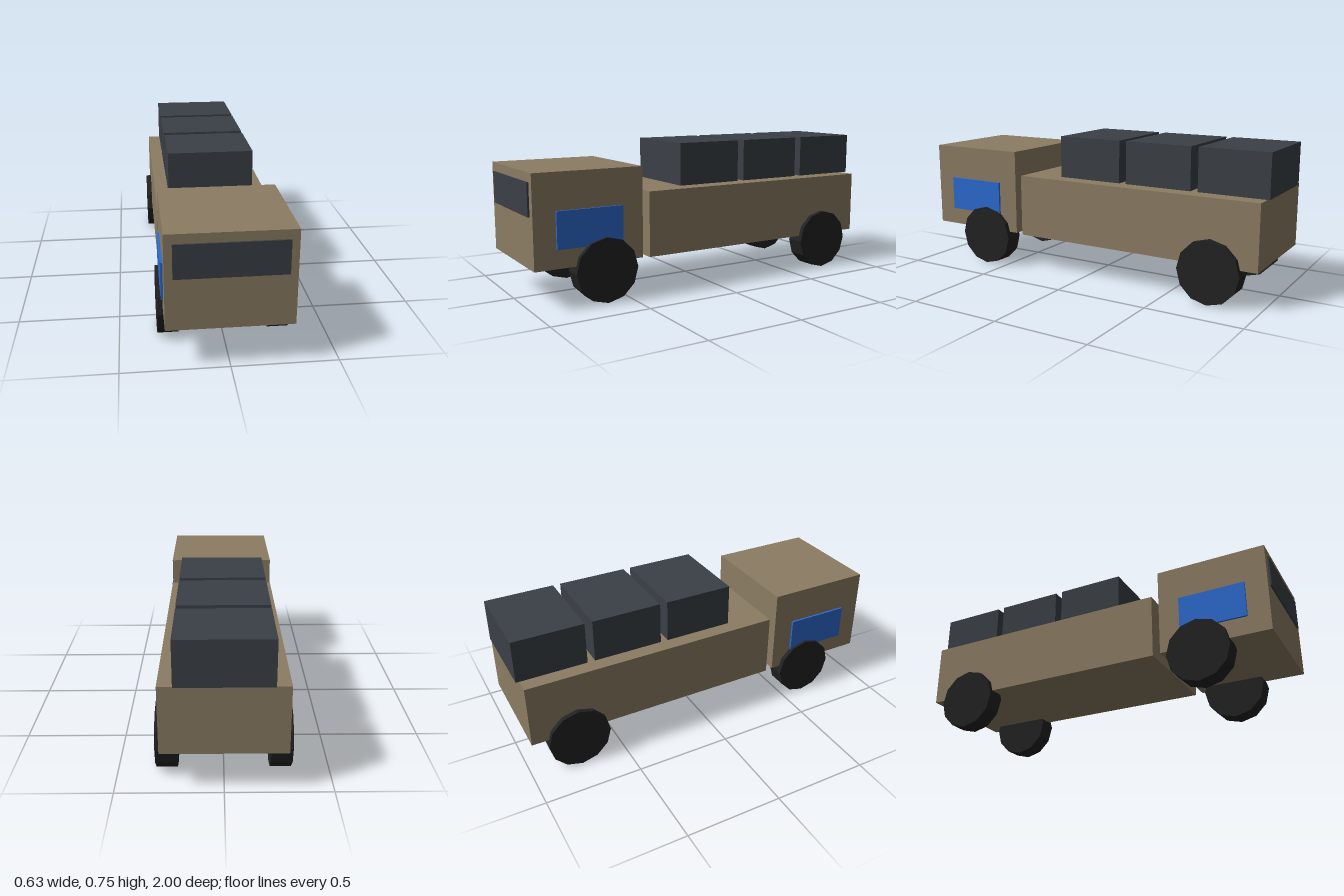
import * as THREE from 'three';

const paint = (name, color) => {
  const m = new THREE.MeshStandardMaterial({ color });
  m.name = name;
  return m;
};

export function createModel() {
  const tan = paint('tan body', 0x8c7d63);
  const slate = paint('dark slate', 0x3b4047);
  const blue = paint('blue panel', 0x2d6bd0);
  const rubber = paint('black rubber', 0x222222);

  const truck = new THREE.Group();
  truck.name = 'truck';

  // Box given by its lower and upper limits on each axis
  const box = (name, material, [x0, x1], [y0, y1], [z0, z1]) => {
    const mesh = new THREE.Mesh(new THREE.BoxGeometry(x1 - x0, y1 - y0, z1 - z0), material);
    mesh.position.set((x0 + x1) / 2, (y0 + y1) / 2, (z0 + z1) / 2);
    mesh.name = name;
    truck.add(mesh);
  };

  // Cab and cargo bed, with a narrow gap between them
  box('cab', tan, [-0.292, 0.292], [0.197, 0.655], [0.426, 0.991]);
  box('bed', tan, [-0.292, 0.292], [0.193, 0.526], [-0.982, 0.387]);

  // Windshield
  box('windshield', slate, [-0.255, 0.255], [0.448, 0.61], [0.991, 1]);

  // Three crates, the last one overhanging the tail
  for (let i = 0; i < 3; i++) {
    const z = -0.018 - i * 0.401;
    box('crate' + (i + 1), slate, [-0.222, 0.222], [0.53, 0.751], [z - 0.18, z + 0.182]);
  }

  // Door panels on both sides
  box('leftDoorPanel', blue, [0.292, 0.303], [0.29, 0.473], [0.538, 0.88]);
  box('rightDoorPanel', blue, [-0.303, -0.292], [0.29, 0.473], [0.538, 0.88]);

  // Four twelve-sided wheels
  const wheelGeometry = new THREE.CylinderGeometry(0.163, 0.163, 0.101, 12).toNonIndexed();
  wheelGeometry.rotateZ(Math.PI / 2);
  wheelGeometry.computeVertexNormals();
  for (const [end, z] of [['front', 0.63], ['rear', -0.74]]) {
    for (const [side, s] of [['Left', 1], ['Right', -1]]) {
      const wheel = new THREE.Mesh(wheelGeometry, rubber);
      wheel.position.set(s * 0.267, 0.163, z);
      wheel.name = end + side + 'Wheel';
      truck.add(wheel);
    }
  }
  return truck;
}
